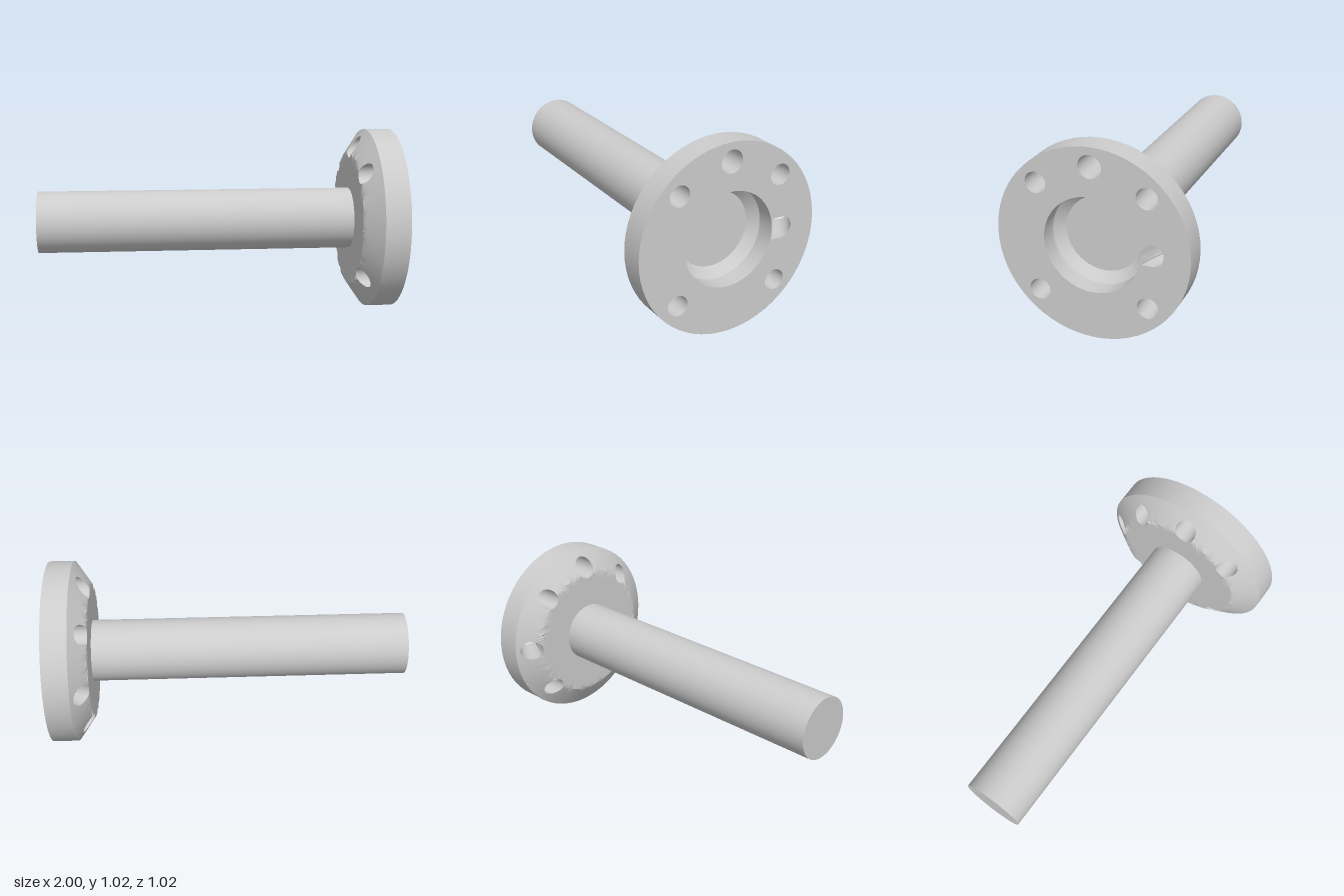
import * as THREE from 'three';
import { toCreasedNormals, mergeGeometries } from 'three/addons/utils/BufferGeometryUtils.js';

const AXIS_Y = 0.51, FRONT = 1, BACK = 0.77;
const RIM = 0.51, BORE = 0.255, SHAFT = 0.173, BEVEL = 0.38;

// Point at radius r and angle t about the x axis (t = 0 points to -z)
const polar = (x, r, t) => new THREE.Vector3(x, r * Math.sin(t), -r * Math.cos(t));

// Back of the flange: flat, then bevelled towards the rim
const backX = (r) => BACK + Math.max(0, r - BEVEL) * 0.09 / (RIM - BEVEL);

// Surface through rows of points
function loft(rows, flip = false) {
  const n = rows[0].length, index = [];
  for (let j = 0; j < rows.length - 1; j++) {
    for (let i = 0; i < n - 1; i++) {
      const a = j * n + i, b = a + n, c = b + 1, d = a + 1;
      index.push(...(flip ? [a, c, b, a, d, c] : [a, b, c, a, c, d]));
    }
  }
  const geo = new THREE.BufferGeometry().setFromPoints(rows.flat());
  geo.setIndex(index);
  return geo;
}

// Rows from a round hole out to the edge of a 45 degree ring sector
function sectorRows(angle, inner, hole, xAt, squared) {
  const N = 32, STEPS = 12, rows = [];
  for (let j = 0; j <= STEPS; j++) {
    const row = [];
    for (let i = 0; i <= N; i++) {
      const phi = (i / N) * Math.PI * 2, c = Math.cos(phi), s = Math.sin(phi);
      const m = Math.max(Math.abs(c), Math.abs(s));
      const even = (v) => Math.atan(v / m) * 4 / Math.PI;
      const edge = polar(0, (inner + RIM) / 2 + even(c) * (RIM - inner) / 2, even(s) * Math.PI / 8);
      const k = hole.radius / (squared && c < 0 ? m : 1);
      const p = new THREE.Vector3(0, k * s, -hole.at - k * c).lerp(edge, j / STEPS);
      const r = Math.hypot(p.y, p.z), t = Math.atan2(p.y, -p.z) + angle;
      row.push(polar(xAt(r), r, t));
    }
    rows.push(row);
  }
  return rows;
}

export function createModel() {
  const group = new THREE.Group();
  const material = new THREE.MeshStandardMaterial({ color: 0xcccccc });
  const add = (name, geo) => {
    const mesh = new THREE.Mesh(toCreasedNormals(geo, 0.5), material);
    mesh.name = name;
    mesh.position.y = AXIS_Y;
    group.add(mesh);
  };
  const turned = (points) => new THREE.LatheGeometry(
    points.map(([r, x]) => new THREE.Vector2(r, x)), 64).rotateZ(-Math.PI / 2);

  add('shaft', turned([[0, -1], [SHAFT, -1], [SHAFT, 0.78]]));
  add('flangeRim', turned([[RIM, backX(RIM)], [RIM, FRONT]]));
  add('bore', turned([[BORE, FRONT], [BORE, 0.9], [0.205, 0.85], [0, 0.85]]));

  // Flange faces in eight sectors: one slanted hole, five bolt holes, two plain
  const faces = [], walls = [];
  for (let k = 0; k < 8; k++) {
    const angle = k * Math.PI / 4;
    const slanted = k === 0, plain = k === 4 || k === 6;
    const radius = plain ? 0 : slanted ? 0.057 : k === 2 ? 0.061 : 0.056;
    const front = sectorRows(angle, BORE, { at: slanted ? 0.316 : 0.41, radius }, () => FRONT, slanted);
    const back = sectorRows(angle, SHAFT - 0.01, { at: slanted ? 0.43 : 0.41, radius }, backX, false);
    faces.push(loft(front), loft(back, true));
    if (!plain) walls.push(loft([back[0], front[0]]));
  }
  add('flangeFaces', mergeGeometries(faces));
  add('holeWalls', mergeGeometries(walls));
  return group;
}
